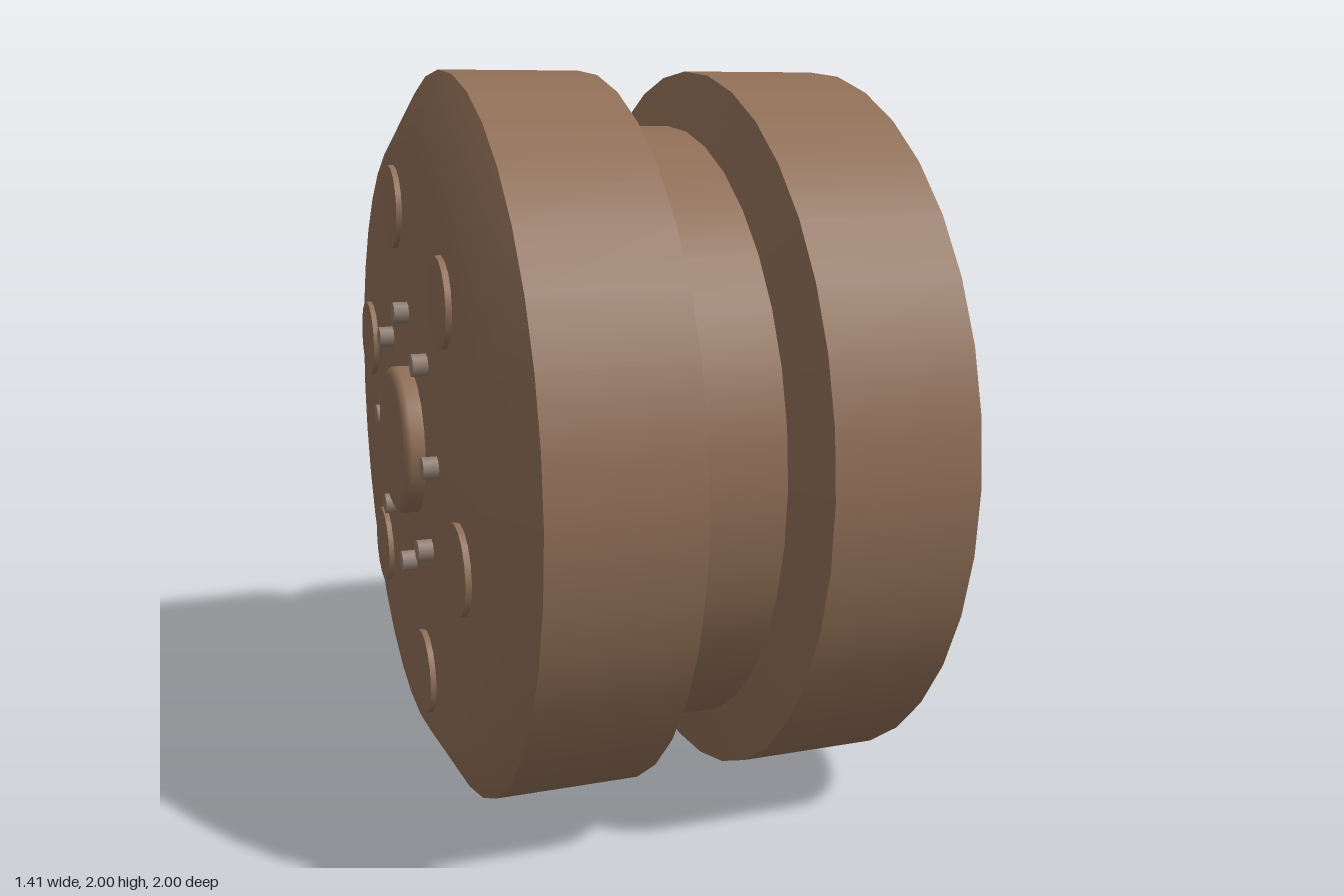
import * as THREE from 'three';

const brown = new THREE.MeshStandardMaterial({ name: 'brown', color: 0x8f6e56 });
const boltGrey = new THREE.MeshStandardMaterial({ name: 'boltGrey', color: 0x8f7b6f });

// Solid of revolution about the x axis; points are [radius, x], a repeated point makes a sharp edge
function turned(name, points, segments) {
  const geometry = new THREE.LatheGeometry(points.map(([r, x]) => new THREE.Vector2(r, x)), segments);
  geometry.rotateZ(-Math.PI / 2);
  const mesh = new THREE.Mesh(geometry, brown);
  mesh.name = name;
  return mesh;
}

// Ring of parts on one side face, evenly spaced around the axle
function ring(group, name, geometry, material, count, radius, x, start) {
  for (let i = 0; i < count; i++) {
    const a = start + (i / count) * Math.PI * 2;
    const mesh = new THREE.Mesh(geometry, material);
    mesh.name = name;
    mesh.position.set(x, Math.sin(a) * radius, -Math.cos(a) * radius);
    group.add(mesh);
  }
}

export function createModel() {
  const model = new THREE.Group();
  model.name = 'groovedWheel';
  const wheel = new THREE.Group();
  wheel.name = 'wheel';
  wheel.position.y = 1;
  model.add(wheel);

  // Wheel body: bevelled rims with a central groove
  const half = [
    [0, 0.65], [0.82, 0.65], [1, 0.547], [1, 0.547], [1, 0.157], [1, 0.157], [0.85, 0.105], [0.85, 0.105],
  ];
  const profile = [...half.map(([r, x]) => [r, -x]), ...half.slice().reverse()];
  wheel.add(turned('wheelBody', profile, 36));

  const plate = new THREE.CylinderGeometry(0.115, 0.115, 0.035, 16).rotateZ(Math.PI / 2);
  const bolt = new THREE.CylinderGeometry(0.03, 0.03, 0.05, 8).rotateZ(Math.PI / 2);

  for (const side of [1, -1]) {
    const face = new THREE.Group();
    face.name = side > 0 ? 'leftFace' : 'rightFace';

    // Hub cap with a rounded edge
    const cap = turned('hubCap', [
      [0.205, 0.63], [0.205, 0.685], [0.199, 0.699], [0.185, 0.706], [0.17, 0.706], [0, 0.706],
    ], 20);
    if (side < 0) cap.rotation.y = Math.PI;
    face.add(cap);
    if (side < 0) cap.position.x = 0;

    // Round plates and bolts
    ring(face, 'roundPlate', plate, brown, 6, 0.647, side * 0.648, 0.3);
    ring(face, 'bolt', bolt, boltGrey, 8, 0.353, side * 0.665, 0);
    wheel.add(face);
  }
  return model;
}
